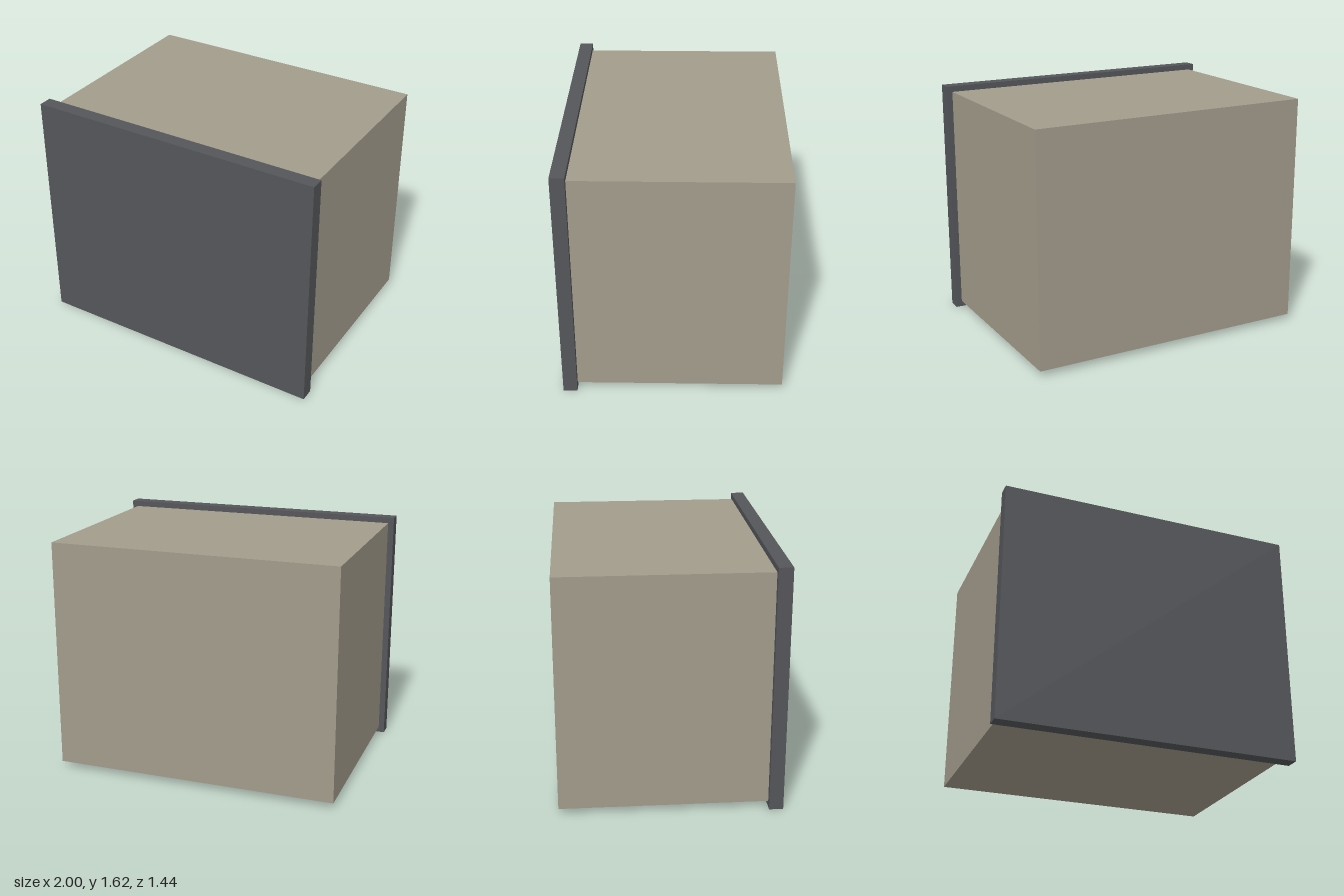
import * as THREE from 'three';

// Box spanning two opposite corners
function box(name, color, min, max) {
  const size = max.map((v, i) => v - min[i]);
  const mesh = new THREE.Mesh(
    new THREE.BoxGeometry(...size),
    new THREE.MeshStandardMaterial({ color })
  );
  mesh.position.set(...max.map((v, i) => (v + min[i]) / 2));
  mesh.name = name;
  return mesh;
}

export function createModel() {
  const model = new THREE.Group();
  model.name = 'drawer';
  // Main body
  model.add(box('body', 0xa39c8c, [-0.96, 0.04, -0.72], [0.96, 1.578, 0.628]));
  // Front panel, overhanging the body on all four sides
  model.add(box('frontPanel', 0x55565a, [-1, 0, 0.628], [1, 1.617, 0.72]));
  return model;
}
